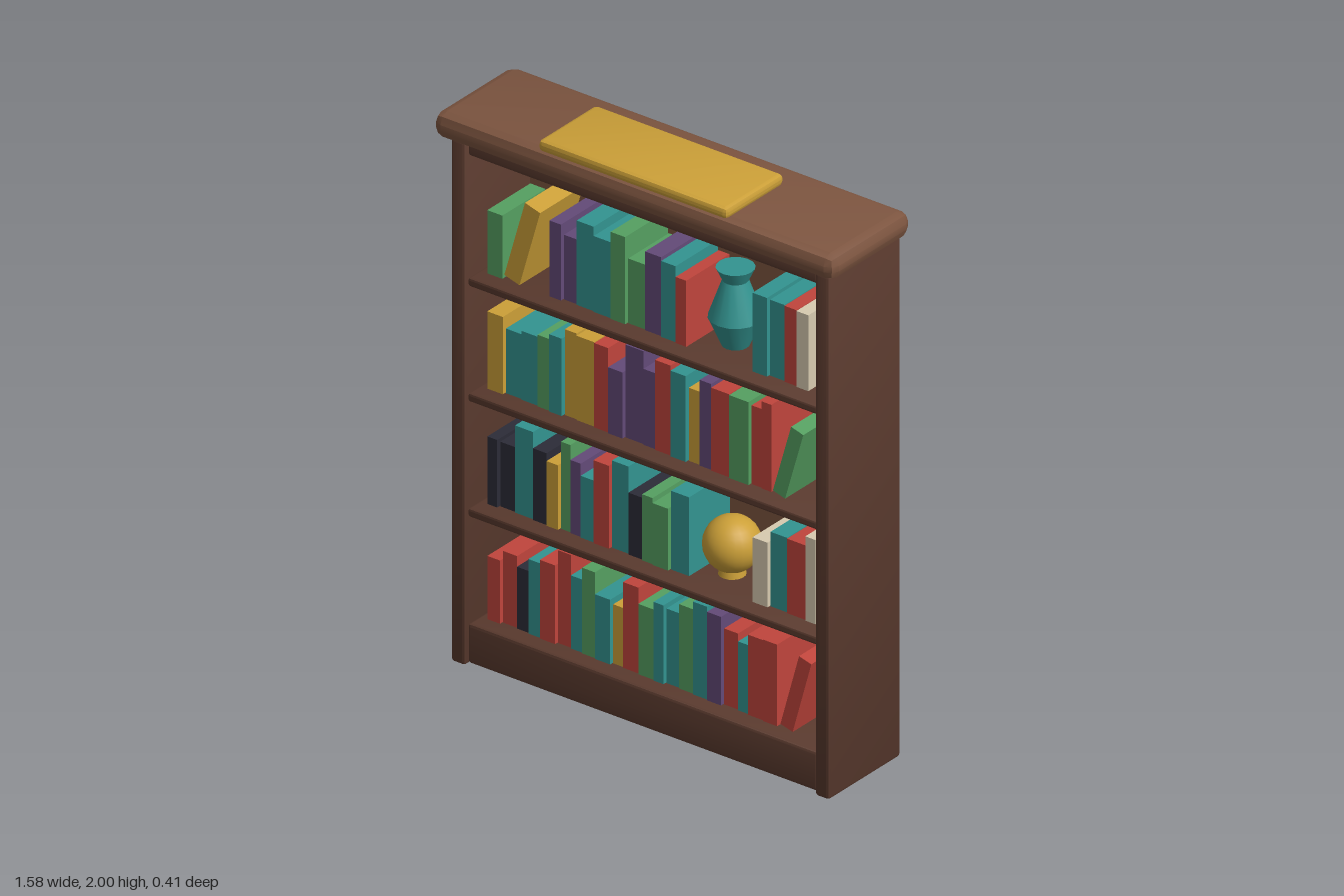
import * as THREE from 'three';
import { RoundedBoxGeometry } from 'three/addons/geometries/RoundedBoxGeometry.js';
import { toCreasedNormals } from 'three/addons/utils/BufferGeometryUtils.js';

const material = (color) => new THREE.MeshStandardMaterial({ color });
const darkWood = material(0x5a3a2e);
const lightWood = material(0x7d5540);
const gold = material(0xcca038);
const teal = material(0x339490);

// Letters used in the book rows
const covers = {
  R: material(0xc0453c), T: teal, G: material(0x559f61), P: material(0x634a78),
  Y: gold, D: material(0x2c2c38), C: material(0xd8cbb0),
};

export function createModel() {
  const model = new THREE.Group();

  const add = (name, geometry, mat, x = 0, y = 0, z = 0, parent = model) => {
    const mesh = new THREE.Mesh(geometry, mat);
    mesh.name = name;
    mesh.position.set(x, y, z);
    parent.add(mesh);
    return mesh;
  };

  // Box with chamfered edges, given by its extents
  const board = (name, mat, [x0, x1], [y0, y1], [z0, z1], chamfer) => {
    const geometry = new RoundedBoxGeometry(x1 - x0, y1 - y0, z1 - z0, 1, chamfer);
    return add(name, toCreasedNormals(geometry, 0.4), mat, (x0 + x1) / 2, (y0 + y1) / 2, (z0 + z1) / 2);
  };

  // Carcass
  board('rightSide', darkWood, [-0.745, -0.69], [0.005, 1.867], [-0.203, 0.165], 0.01);
  board('leftSide', darkWood, [0.69, 0.745], [0.005, 1.867], [-0.203, 0.165], 0.01);
  add('backPanel', new THREE.BoxGeometry(1.39, 1.855, 0.02), lightWood, 0, 0.9375, -0.18);
  board('plinth', darkWood, [-0.69, 0.69], [0.01, 0.15], [-0.191, 0.15], 0.01);
  board('topRail', darkWood, [-0.69, 0.69], [1.815, 1.867], [-0.191, 0.15], 0.01);
  const shelfTops = [0.56, 0.97, 1.38];
  shelfTops.forEach((y) =>
    board('shelf', darkWood, [-0.69, 0.69], [y - 0.03, y], [-0.191, 0.15], 0.008));

  // Crown board and the plate lying on it
  board('crown', lightWood, [-0.79, 0.79], [1.87, 1.96], [-0.205, 0.205], 0.035);
  board('topPlate', gold, [-0.372, 0.372], [1.96, 2], [-0.092, 0.205], 0.015);

  // Books: widths and heights are in hundredths
  const books = new THREE.Group();
  books.name = 'books';
  model.add(books);
  const depth = 0.22, frontZ = 0.09;

  const addRow = (y, start, letters, widths, heights) => {
    let x = start;
    widths.forEach((w, i) => {
      const width = w / 100, height = heights[i] / 100;
      const setBack = 0.004 * ((i * 7) % 4);
      add('book', new THREE.BoxGeometry(width - 0.003, height, depth - setBack),
        covers[letters[i]], x + width / 2, y + height / 2, frontZ - (depth + setBack) / 2, books);
      x += width;
    });
  };

  // A book tilted to the right about its lower right corner
  const addLeaning = (y, corner, letter, width, height, angle) => {
    const geometry = new THREE.BoxGeometry(width, height, depth);
    geometry.translate(-width / 2, height / 2, 0);
    const book = add('leaningBook', geometry, covers[letter], corner, y, frontZ - depth / 2, books);
    book.rotation.z = -angle;
  };

  // Bottom row
  addRow(0.15, -0.66, 'RRDTRRTGTYRGTTGTPRTRR',
    [5.3, 5.8, 4.8, 4.8, 6.3, 5.3, 4.8, 5.3, 6.3, 4.2, 6.3, 6.3, 4.2, 5.3, 5.8, 5.8, 5.8, 5.8, 4.2, 6.3, 5.8],
    [22.5, 25.5, 22, 26.5, 28, 33, 26, 30.5, 23, 21, 30.5, 25, 28, 26.5, 30, 33, 31.5, 27, 24.5, 28.5, 29]);
  addLeaning(0.15, 0.545, 'R', 0.05, 0.275, 0.27);

  // Second row, with a gap for the globe
  addRow(0.56, -0.66, 'DDTDYGPTRTDGGT',
    [4.2, 6.1, 7.4, 5.6, 4.8, 4, 4.4, 5.3, 6.4, 6.8, 5.7, 4.4, 6.4, 7.4],
    [24, 23, 31, 25.5, 23, 31, 26, 22, 29.5, 31, 22, 23.5, 22, 28]);
  addRow(0.56, 0.385, 'CTRC', [6.2, 6.8, 7.5, 4.3], [23, 26.5, 26.5, 30]);

  // Third row
  addRow(0.97, -0.66, 'YTTGTYYRPPPRTYPRGRR',
    [6.4, 6.4, 6.7, 4.9, 5.2, 5, 7.2, 5.8, 6, 7.3, 4.9, 6.4, 6.3, 4.6, 4.8, 7.4, 7.9, 4.2, 4.2],
    [27.5, 23, 24.5, 25.5, 27.5, 30.5, 30, 30, 23.5, 33, 27, 32, 30.5, 26, 30.5, 29.5, 29.5, 28, 31]);
  addLeaning(0.97, 0.515, 'G', 0.05, 0.26, 0.28);

  // Top row, with a gap for the vase
  addRow(1.38, -0.66, 'G', [6.2], [22.5]);
  addLeaning(1.38, -0.532, 'Y', 0.062, 0.295, 0.28);
  addRow(1.38, -0.415, 'PPTTGGPTR',
    [4.8, 5.3, 7, 7, 6, 7, 6.6, 6, 4.5], [27, 23, 30, 27, 31, 23, 28, 27, 23.5]);
  addRow(1.38, 0.385, 'TTRC', [6, 6, 5, 5], [28, 27, 27, 27]);

  // Vase
  const profile = [[0, 0], [0.045, 0], [0.088, 0.1], [0.042, 0.23], [0.063, 0.275], [0, 0.275]];
  const vase = new THREE.LatheGeometry(profile.map(([r, y]) => new THREE.Vector2(r, y)), 16);
  add('vase', toCreasedNormals(vase, 0.6), teal, 0.235, 1.38, -0.02);

  // Globe on a short foot
  add('globe', new THREE.SphereGeometry(0.095, 24, 16), gold, 0.222, 0.667, -0.02);
  add('globeFoot', new THREE.CylinderGeometry(0.04, 0.045, 0.03, 16), gold, 0.222, 0.575, -0.02);

  return model;
}
